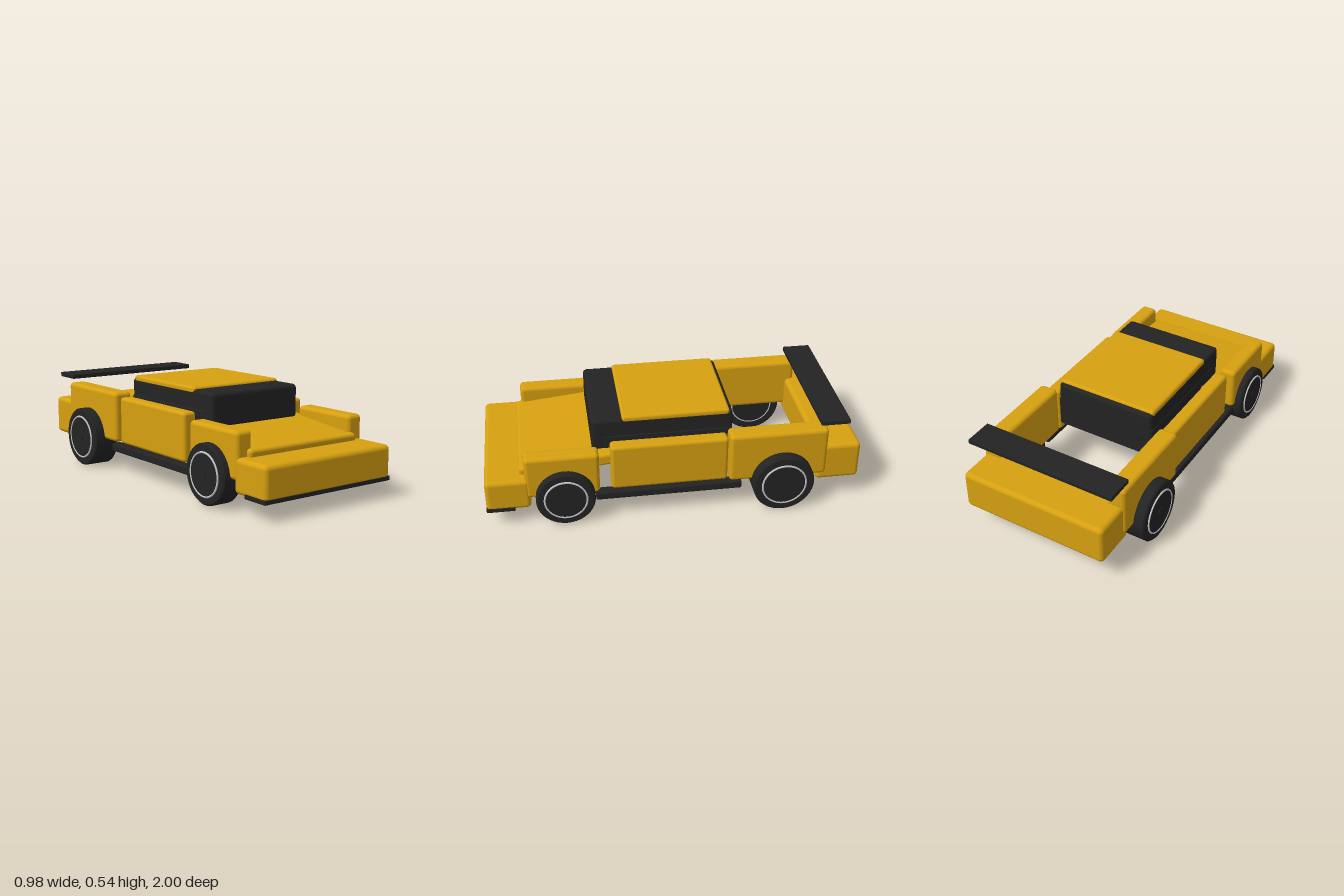
import * as THREE from 'three';
import { RoundedBoxGeometry } from 'three/addons/geometries/RoundedBoxGeometry.js';

export function createModel() {
  const car = new THREE.Group();
  car.name = 'car';
  const mat = (name, color) => {
    const m = new THREE.MeshStandardMaterial({ color });
    m.name = name;
    return m;
  };
  const yellow = mat('yellow paint', 0xd6a010);
  const black = mat('black trim', 0x232323);
  const silver = mat('silver rim', 0xc4c4c4);

  // Rounded block given by its limits on each axis
  function block(name, material, [x0, x1], [y0, y1], [z0, z1], r = 0.02) {
    const g = new RoundedBoxGeometry(x1 - x0, y1 - y0, z1 - z0, 4, r);
    const m = new THREE.Mesh(g, material);
    m.name = name;
    m.position.set((x0 + x1) / 2, (y0 + y1) / 2, (z0 + z1) / 2);
    car.add(m);
    return m;
  }
  // The same block on both sides
  function pair(name, material, [x0, x1], y, z, r) {
    block(name + 'Left', material, [x0, x1], y, z, r);
    block(name + 'Right', material, [-x1, -x0], y, z, r);
  }

  // Nose and tail
  block('frontBumper', yellow, [-0.41, 0.41], [0.095, 0.273], [0.765, 1], 0.025);
  block('frontSplitter', black, [-0.412, 0.412], [0.088, 0.112], [0.85, 1], 0.005);
  block('rearBumper', yellow, [-0.413, 0.413], [0.125, 0.34], [-1, -0.762], 0.025);

  // Sloping bonnet
  const hood = block('hood', yellow, [-0.35, 0.35], [0.27, 0.34], [0.218, 0.818], 0.018);
  hood.rotation.x = 0.105;

  // Body sides
  pair('frontFender', yellow, [0.317, 0.411], [0.16, 0.4], [0.402, 0.79], 0.022);
  pair('door', yellow, [0.32, 0.398], [0.165, 0.425], [-0.28, 0.34], 0.018);
  pair('rearFender', yellow, [0.318, 0.425], [0.17, 0.45], [-0.812, -0.284], 0.022);
  pair('sideSkirt', black, [0.35, 0.41], [0.11, 0.155], [-0.357, 0.425], 0.01);

  // Cabin
  block('cabinBase', black, [-0.29, 0.29], [0.255, 0.43], [-0.32, 0.365], 0.012);
  block('windows', black, [-0.286, 0.286], [0.34, 0.525], [-0.322, 0.43], 0.022);
  block('roof', yellow, [-0.286, 0.286], [0.5, 0.538], [-0.303, 0.268], 0.015);

  // Rear wing
  block('rearWing', black, [-0.421, 0.421], [0.474, 0.5], [-0.922, -0.766], 0.005);

  // Wheels
  function wheel(name, side, z, radius, inner, outer) {
    const group = new THREE.Group();
    group.name = name;
    const w = outer - inner;
    const h = w / 2;
    const b = 0.008;
    const profile = [[0, -h], [radius - b, -h], [radius - b, -h], [radius, b - h], [radius, b - h],
      [radius, h - b], [radius, h - b], [radius - b, h], [radius - b, h], [0, h]]
      .map(([r, y]) => new THREE.Vector2(r, y));
    const tyre = new THREE.Mesh(new THREE.LatheGeometry(profile, 40), black);
    tyre.name = 'tyre';
    tyre.rotation.z = -Math.PI / 2;
    group.add(tyre);

    const ringRadius = radius * 0.71;
    for (const s of [-1, 1]) {
      const ring = new THREE.Mesh(new THREE.TorusGeometry(ringRadius, 0.0055, 8, 48), silver);
      ring.name = 'rimRing';
      ring.rotation.y = Math.PI / 2;
      ring.position.x = s === side ? s * (h + 0.002) : s * (h - 0.004);
      group.add(ring);
    }
    // Wheel disc and centre cap on the outer face
    for (const [part, r, t] of [['wheelDisc', ringRadius - 0.004, 0.005], ['centreCap', 0.022, 0.009]]) {
      const disc = new THREE.Mesh(new THREE.CylinderGeometry(r, r, t, 32), black);
      disc.name = part;
      disc.rotation.z = Math.PI / 2;
      disc.position.x = side * (h + t / 2 - 0.001);
      group.add(disc);
    }
    group.position.set(side * (inner + h), z > 0 ? 0.16 : radius, z);
    car.add(group);
  }
  for (const side of [-1, 1]) {
    const s = side > 0 ? 'Left' : 'Right';
    wheel('frontWheel' + s, side, 0.585, 0.156, 0.335, 0.45);
    wheel('rearWheel' + s, side, -0.57, 0.165, 0.335, 0.484);
  }
  return car;
}
